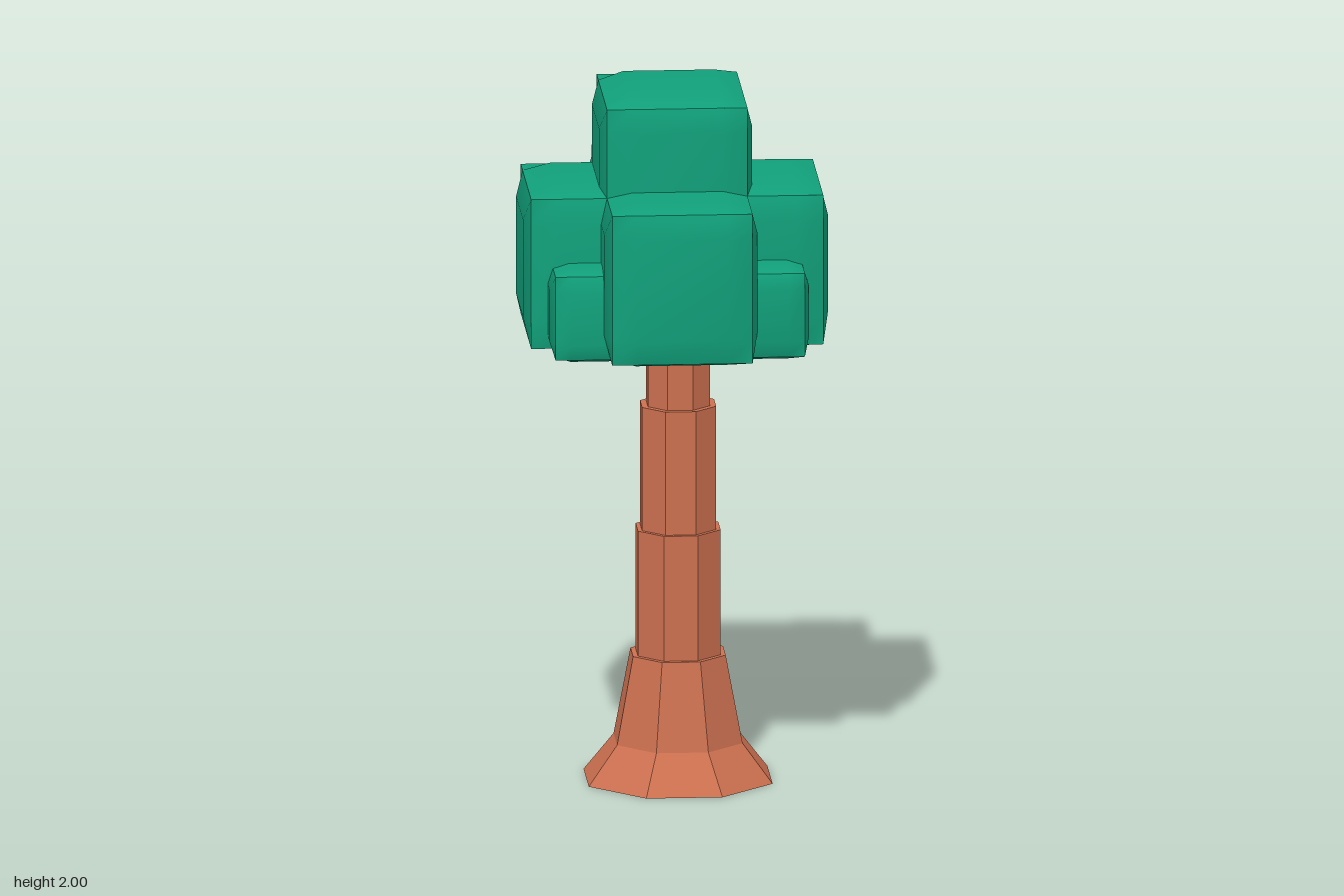
import * as THREE from 'three';

const bark = new THREE.MeshStandardMaterial({ color: 0xcc7050, flatShading: true });
const leaf = new THREE.MeshStandardMaterial({ color: 0x11a07a });

// Box whose six faces each swell outward; min and max are the core corners
function puffyBox(name, min, max, bulge, inset) {
  const geo = new THREE.BoxGeometry(1, 1, 1, 3, 3, 3);
  const pos = geo.attributes.position;
  for (let i = 0; i < pos.count; i++) {
    const v = [pos.getX(i), pos.getY(i), pos.getZ(i)];
    const outer = v.map(c => Math.abs(c) > 0.4);
    const faceInterior = outer.filter(Boolean).length === 1;
    const p = v.map((c, a) => {
      const half = (max[a] - min[a]) / 2;
      const reach = outer[a] ? half + (faceInterior ? bulge[a] : 0) : half - inset;
      return (max[a] + min[a]) / 2 + Math.sign(c) * reach;
    });
    pos.setXYZ(i, ...p);
  }
  geo.computeVertexNormals();
  const mesh = new THREE.Mesh(geo, leaf);
  mesh.name = name;
  return mesh;
}

// Eight-sided turned part; profile holds [distance to flat side, height]
function octagonal(name, profile) {
  const k = 1 / Math.cos(Math.PI / 8);
  const points = profile.map(([r, y]) => new THREE.Vector2(r * k, y));
  const mesh = new THREE.Mesh(new THREE.LatheGeometry(points, 8, Math.PI / 8), bark);
  mesh.name = name;
  mesh.position.x = 0.017;
  return mesh;
}

export function createModel() {
  const tree = new THREE.Group();
  tree.name = 'tree';

  // Trunk: flared root, then three narrowing steps
  tree.add(octagonal('trunk', [
    [0, 0], [0.258, 0], [0.176, 0.11], [0.13, 0.36], [0.116, 0.36], [0.116, 0.72],
    [0.104, 0.72], [0.104, 1.075], [0.087, 1.075], [0.087, 1.26], [0, 1.26],
  ]));

  // Collar under the leaves, flaring sideways only
  const collar = octagonal('collar', [[0, 1.22], [0.13, 1.22], [0.155, 1.28], [0, 1.28]]);
  collar.scale.z = 0.84;
  tree.add(collar);

  // Leaves: crossed blocks sharing one base height
  const bulge = [0.018, 0.02, 0.021];
  tree.add(
    puffyBox('leafCrown', [-0.197, 1.29, -0.214], [0.197, 1.975, 0.213], [0.018, 0.025, 0.021], 0.07),
    puffyBox('leafSideArms', [-0.41, 1.29, -0.214], [0.41, 1.72, 0.213], bulge, 0.075),
    puffyBox('leafFrontBackArms', [-0.197, 1.29, -0.43], [0.197, 1.72, 0.426], bulge, 0.07),
    puffyBox('leafCorners', [-0.35, 1.285, -0.362], [0.35, 1.525, 0.336], [0.014, 0.015, 0.018], 0.045),
  );
  return tree;
}
